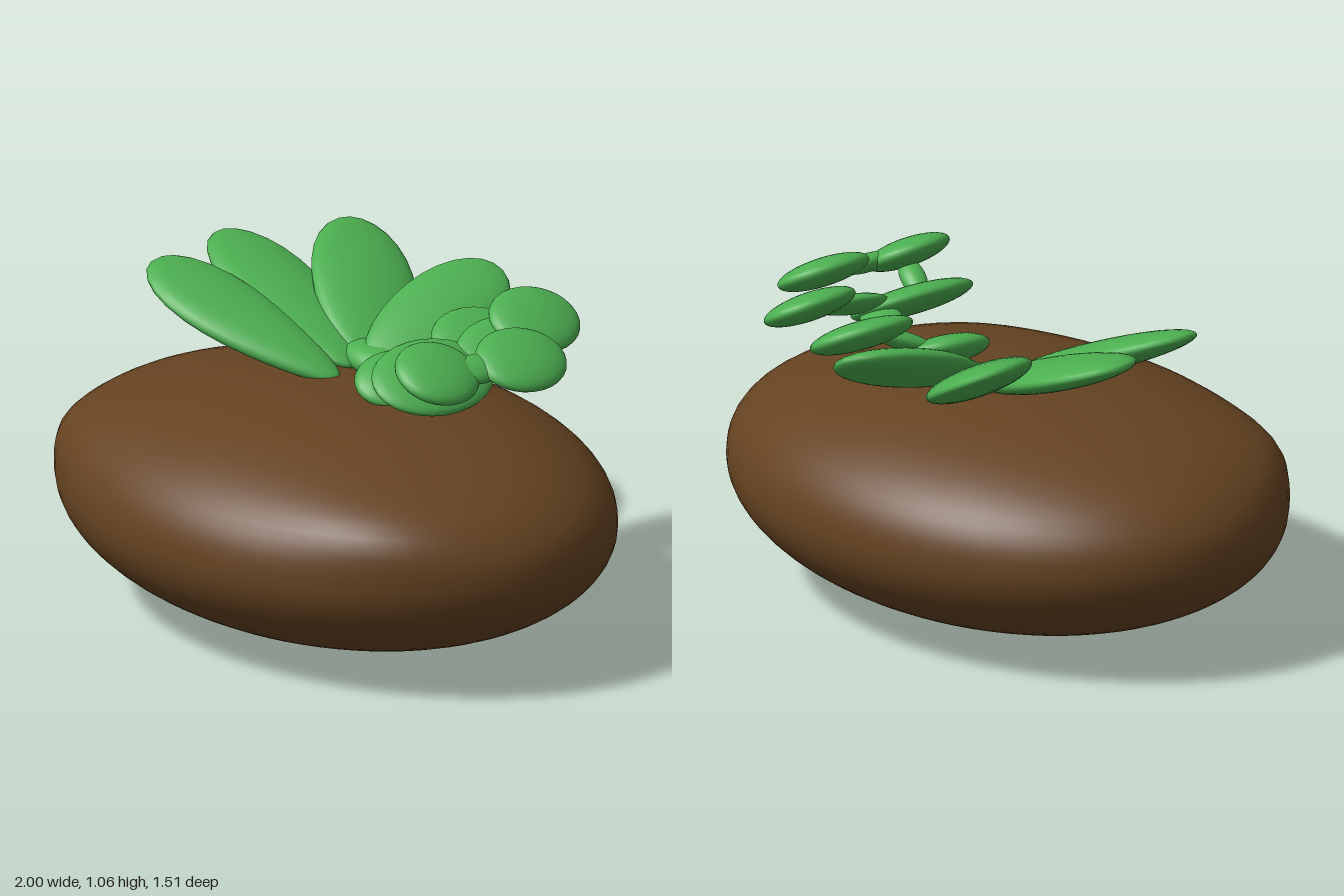
import * as THREE from 'three';
import { mergeVertices } from 'three/addons/utils/BufferGeometryUtils.js';

// Unit sphere whose vertices are moved by a rule, with smooth seamless normals
function moulded(wSeg, hSeg, rule) {
  let g = new THREE.SphereGeometry(1, wSeg, hSeg);
  g.deleteAttribute('uv');
  g.deleteAttribute('normal');
  g = mergeVertices(g, 1e-4);
  const p = g.attributes.position;
  const v = new THREE.Vector3();
  for (let i = 0; i < p.count; i++) {
    v.fromBufferAttribute(p, i);
    rule(v);
    p.setXYZ(i, v.x, v.y, v.z);
  }
  g.computeVertexNormals();
  return g;
}

// Flat, rounded leaf from base to tip; its surface falls sideways by 'slope' towards +x
function leafGeometry(base, tip, wBase, wTip, thick, slope = -0.55) {
  const a = new THREE.Vector3(...base), b = new THREE.Vector3(...tip);
  const c = a.clone().add(b).multiplyScalar(0.5);
  const u = b.clone().sub(a).multiplyScalar(0.5);
  const s = new THREE.Vector3(-u.z, 0, u.x).normalize();
  s.y = slope * s.x;
  const n = s.clone().cross(u).normalize();
  return moulded(28, 18, (v) => {
    const w = THREE.MathUtils.lerp(wBase, wTip, (v.x + 1) / 2);
    const { x, y, z } = v;
    v.copy(c).addScaledVector(u, x).addScaledVector(n, y * thick).addScaledVector(s, z * w);
  });
}

export function createModel() {
  const model = new THREE.Group();
  const brown = new THREE.MeshStandardMaterial({ color: 0x654321 });
  brown.name = 'earthBrown';
  const green = new THREE.MeshStandardMaterial({ color: 0x4caf50 });
  green.name = 'leafGreen';

  // Body: egg-like lump with fuller top and two soft front shoulders
  const shoulder = new THREE.Vector3(0.66, 0.45, 0.6).normalize();
  const body = new THREE.Mesh(moulded(64, 40, (v) => {
    const d = (v.x - Math.sign(v.x) * shoulder.x) ** 2 + (v.y - shoulder.y) ** 2 + (v.z - shoulder.z) ** 2;
    const k = 1 + 0.05 * Math.exp(-d / 0.09);
    const y = v.y > 0 ? 0.375 * Math.pow(v.y, 0.87) : 0.4 * v.y;
    v.set(v.x * k, 0.4 + y * k, v.z * 0.755 * k);
  }), brown);
  body.name = 'body';
  model.add(body);

  const addLeaf = (parent, name, ...spec) => {
    const m = new THREE.Mesh(leafGeometry(...spec), green);
    m.name = name;
    parent.add(m);
  };

  // Broad leaves fanning out from the crown
  const broad = new THREE.Group();
  broad.name = 'broadLeaves';
  model.add(broad);
  [
    [[-0.06, 0.78, -0.13], [-0.75, 1.03, -0.21], 0.13, 0.19, 0.05],
    [[-0.04, 0.76, -0.05], [-0.69, 1.03, 0.15], 0.09, 0.19, 0.05],
    [[-0.05, 0.78, -0.18], [-0.52, 1.03, -0.59], 0.15, 0.18, 0.05],
    [[0, 0.79, -0.14], [0, 0.97, -0.71], 0.13, 0.15, 0.05],
    [[-0.17, 0.81, -0.2], [0.13, 0.78, -0.2], 0.09, 0.08, 0.05],
  ].forEach((spec, i) => addLeaf(broad, 'broadLeaf' + (i + 1), ...spec));

  // Small jointed lobes: far end, near end and half width
  const lobes = new THREE.Group();
  lobes.name = 'smallLobes';
  model.add(lobes);
  [
    [[0.2, 0.82, -0.24], [0.15, 0.8, 0.05], 0.1],
    [[0.25, 0.9, -0.19], [0.31, 0.89, -0.53], 0.13],
    [[0.42, 0.9, -0.25], [0.39, 0.89, 0.19], 0.135],
    [[0.41, 0.98, -0.3], [0.41, 0.98, -0.62], 0.12],
    [[0.56, 0.98, -0.05], [0.56, 0.98, 0.24], 0.115],
    [[0.62, 0.97, -0.04], [0.635, 0.97, -0.36], 0.115],
  ].forEach(([a, b, w], i) => addLeaf(lobes, 'lobe' + (i + 1), a, b, w, w, 0.045));

  // Short necks joining the lobes
  const necks = new THREE.Group();
  necks.name = 'necks';
  model.add(necks);
  [
    [[0.03, 0.8, -0.2], [0.22, 0.82, -0.16], 0.05],
    [[0.17, 0.81, -0.13], [0.28, 0.9, -0.32], 0.05],
    [[0.24, 0.9, -0.26], [0.46, 0.89, -0.16], 0.06],
    [[0.4, 0.92, -0.15], [0.41, 0.97, -0.42], 0.08],
    [[0.59, 0.97, 0.05], [0.6, 0.97, -0.14], 0.05],
    [[0.42, 0.89, 0.03], [0.56, 0.96, 0.08], 0.04],
  ].forEach(([a, b, w], i) => addLeaf(necks, 'neck' + (i + 1), a, b, w, w, 0.03));

  return model;
}
